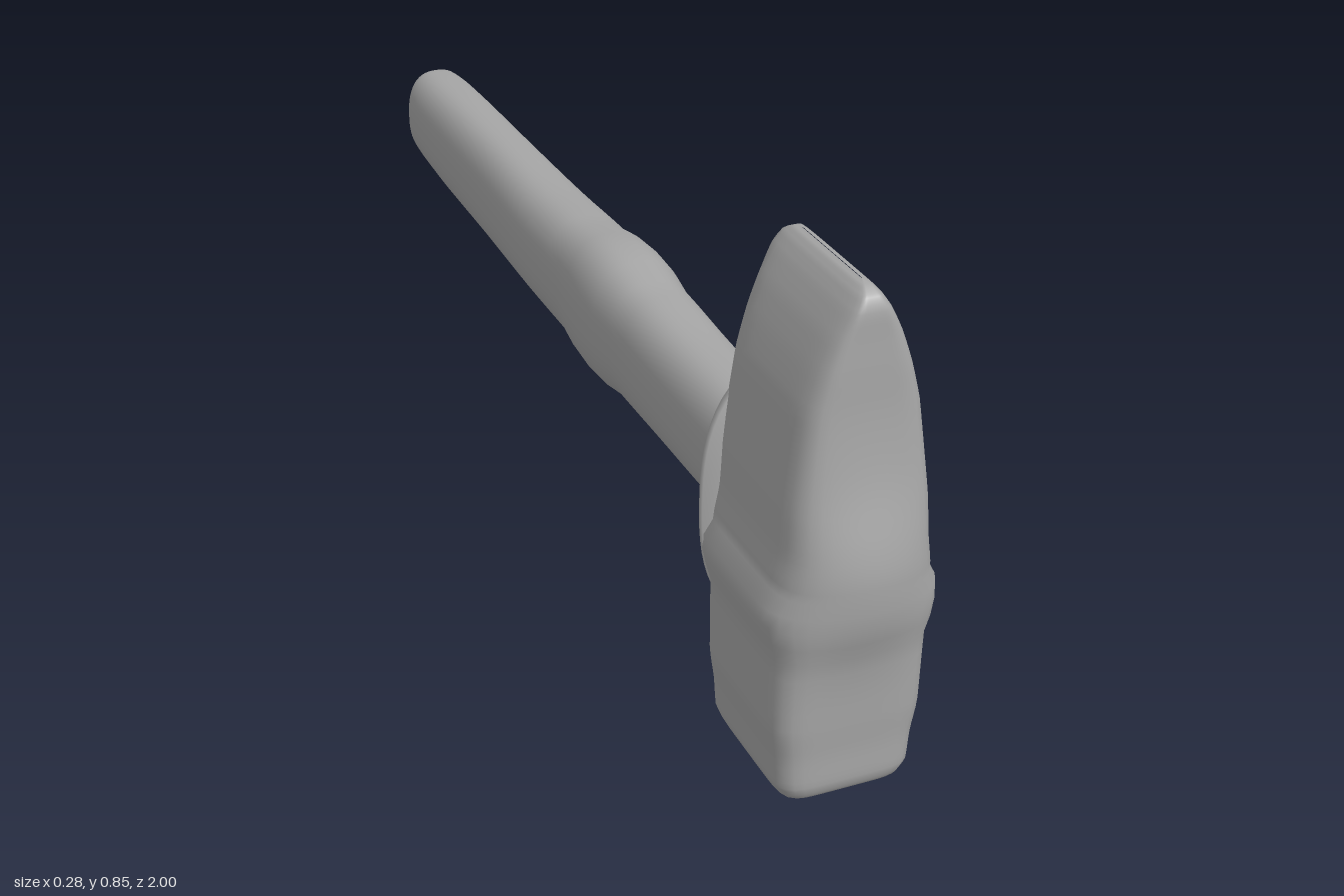
import * as THREE from 'three';

const SIDES = 64, STEPS = 4;

// Loft of rounded-square rings; rows are [position, centre v, half u, half v].
// place(u, v, w) turns ring coordinates into a point; u x v must point along +w.
function loft(rows, power, place) {
  const path = new THREE.CatmullRomCurve3(rows.map(r => new THREE.Vector3(r[0], r[1], 0)));
  const size = new THREE.CatmullRomCurve3(rows.map(r => new THREE.Vector3(r[2], r[3], 0)));
  const count = (rows.length - 1) * STEPS;
  const pos = [], index = [];
  for (let i = 0; i <= count; i++) {
    const p = path.getPoint(i / count), s = size.getPoint(i / count);
    for (let j = 0; j < SIDES; j++) {
      const a = (j / SIDES) * Math.PI * 2, c = Math.cos(a), d = Math.sin(a);
      const k = (Math.abs(c) ** power + Math.abs(d) ** power) ** (-1 / power);
      pos.push(...place(c * k * Math.max(s.x, 0.0005), p.y + d * k * Math.max(s.y, 0.0005), p.x));
      if (i < count) {
        const n = (j + 1) % SIDES, q = i * SIDES;
        index.push(q + j, q + n, q + SIDES + n, q + j, q + SIDES + n, q + SIDES + j);
      }
    }
  }
  const geo = new THREE.BufferGeometry();
  geo.setAttribute('position', new THREE.Float32BufferAttribute(pos, 3));
  geo.setIndex(index);
  geo.computeVertexNormals();
  return geo;
}

export function createModel() {
  const group = new THREE.Group();
  const grey = new THREE.MeshStandardMaterial({ color: 0xa6a6a6 });
  grey.name = 'plain grey';

  // Head: square striking face at the bottom, tapering to a wedge on top
  const head = loft([
    [0.002, -0.81, 0, 0],
    [0.006, -0.81, 0.03, 0.04],
    [0.015, -0.82, 0.082, 0.105],
    [0.026, -0.822, 0.1, 0.126],
    [0.05, -0.822, 0.111, 0.135],
    [0.1, -0.822, 0.115, 0.136],
    [0.16, -0.823, 0.123, 0.139],
    [0.28, -0.823, 0.124, 0.14],
    [0.39, -0.823, 0.124, 0.14],
    [0.45, -0.823, 0.115, 0.139],
    [0.52, -0.823, 0.111, 0.138],
    [0.6, -0.823, 0.101, 0.137],
    [0.67, -0.823, 0.091, 0.135],
    [0.73, -0.823, 0.074, 0.135],
    [0.78, -0.823, 0.055, 0.134],
    [0.82, -0.823, 0.034, 0.133],
    [0.84, -0.823, 0.02, 0.125],
    [0.85, -0.823, 0.009, 0.108],
    [0.853, -0.823, 0, 0.09],
  ], 7, (u, v, w) => {
    // Domed swelling on the front where the handle passes through
    const z = -v;
    const dome = 0.038 * Math.exp(-(((w - 0.41) / 0.13) ** 2))
      * Math.max(0, 1 - (u / 0.125) ** 2) * THREE.MathUtils.smoothstep(z, 0.85, 0.95);
    return [u, w, z + dome];
  });
  const headMesh = new THREE.Mesh(head, grey);
  headMesh.name = 'hammerHead';
  group.add(headMesh);

  // Handle: rounded bar with a blunt end, flaring into the head
  const handle = loft([
    [-1, 0.41, 0, 0],
    [-0.997, 0.41, 0.03, 0.05],
    [-0.985, 0.411, 0.05, 0.078],
    [-0.96, 0.412, 0.063, 0.093],
    [-0.9, 0.413, 0.068, 0.097],
    [-0.75, 0.412, 0.07, 0.103],
    [-0.5, 0.412, 0.071, 0.106],
    [-0.25, 0.412, 0.077, 0.107],
    [-0.05, 0.417, 0.079, 0.111],
    [0.2, 0.417, 0.079, 0.111],
    [0.4, 0.412, 0.076, 0.106],
    [0.58, 0.412, 0.076, 0.105],
    [0.63, 0.413, 0.081, 0.109],
    [0.665, 0.415, 0.094, 0.125],
    [0.69, 0.416, 0.11, 0.17],
    [0.72, 0.416, 0.11, 0.17],
    [0.74, 0.416, 0, 0],
  ], 2.5, (u, v, w) => [u, v, w]);
  const handleMesh = new THREE.Mesh(handle, grey);
  handleMesh.name = 'handle';
  group.add(handleMesh);

  return group;
}
